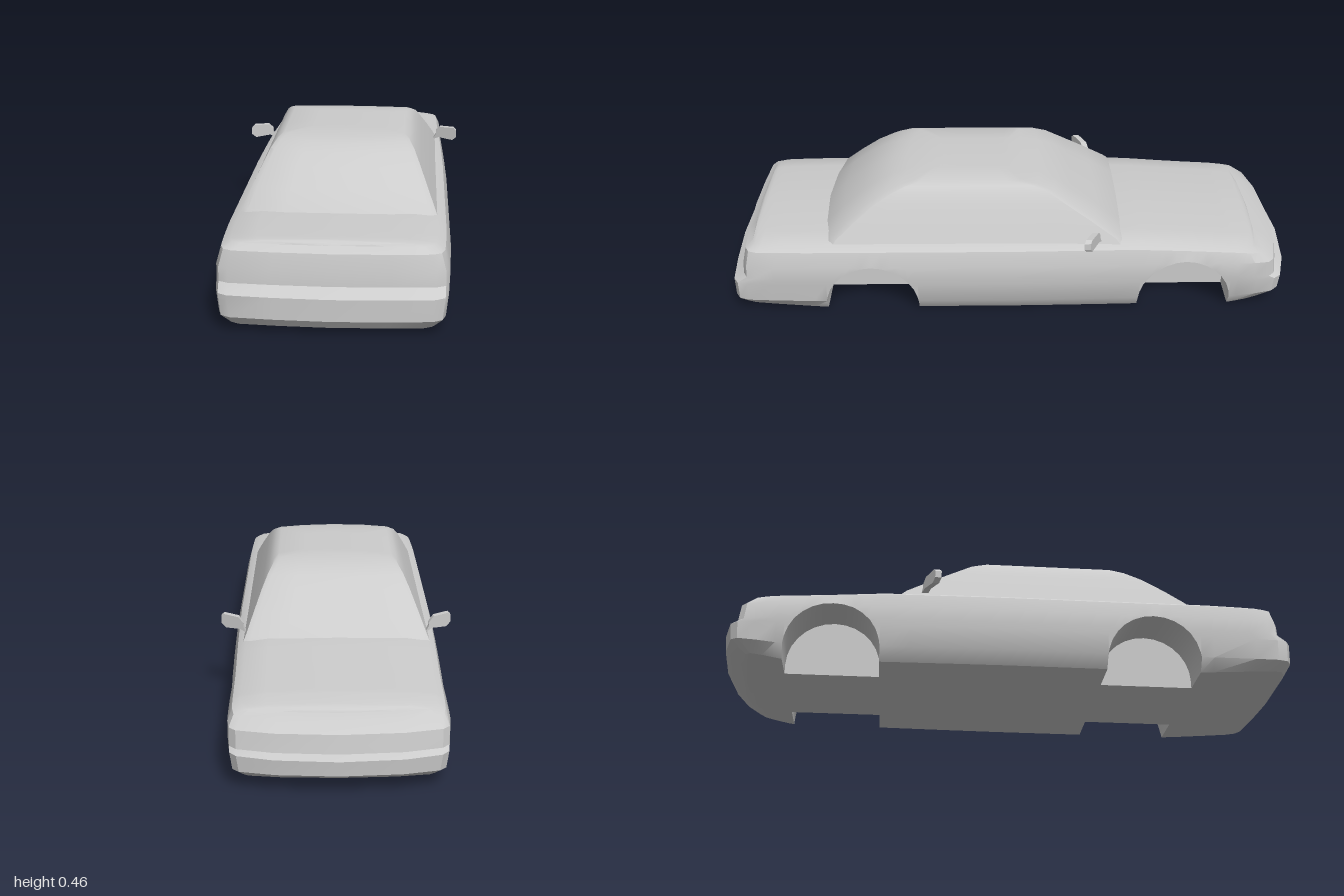
import * as THREE from 'three';
import { toCreasedNormals } from 'three/addons/utils/BufferGeometryUtils.js';

const { lerp, clamp } = THREE.MathUtils;
const material = new THREE.MeshStandardMaterial({ color: 0xcccccc });

// Piecewise-linear lookup in a list of [input, output] pairs.
function lookup(table, v) {
  if (v <= table[0][0]) return table[0][1];
  for (let i = 1; i < table.length; i++) {
    const [a, fa] = table[i - 1], [b, fb] = table[i];
    if (v <= b) return b > a ? lerp(fa, fb, (v - a) / (b - a)) : fb;
  }
  return table[table.length - 1][1];
}

// Skin over a series of closed loops with equal point counts.
function loft(rows, crease) {
  const n = rows[0].length, index = [];
  for (let k = 0; k < rows.length - 1; k++) {
    for (let j = 0; j < n; j++) {
      const a = k * n + j, b = k * n + (j + 1) % n;
      index.push(a, b, a + n, b, b + n, a + n);
    }
  }
  const g = new THREE.BufferGeometry();
  g.setAttribute('position', new THREE.Float32BufferAttribute(rows.flat(2), 3));
  g.setIndex(index);
  return toCreasedNormals(g, crease);
}

function addMesh(group, name, geometry, mat = material) {
  const mesh = new THREE.Mesh(geometry, mat);
  mesh.name = name;
  group.add(mesh);
}

// Mirror a half section that runs from centre line to centre line.
const mirrored = half => [
  ...half, ...half.slice(1, -1).reverse().map(([x, y, z]) => [-x, y, z])];

// Body levels, bottom to top: y at nose, middle, tail; z of nose and tail; half width.
const levels = [
  [0.03, 0, 0.022, -0.93, 0.98, 0.32],
  [0.07, 0.045, 0.05, -0.995, 1, 0.35],
  [0.12, 0.12, 0.12, -1, 1, 0.358],
  [0.13, 0.145, 0.145, -0.97, 0.96, 0.36],
  [0.19, 0.19, 0.19, -0.96, 0.957, 0.36],
  [0.215, 0.245, 0.243, -0.915, 0.945, 0.345],
  [0.225, 0.262, 0.26, -0.88, 0.92, 0.318],
];

// Plan outline: z against share of the half width.
const plan = [
  [-1, 0], [-0.985, 0.55], [-0.955, 0.87], [-0.93, 0.93], [-0.87, 0.95],
  [-0.8, 0.955], [-0.6, 0.96], [-0.35, 0.98], [-0.2, 0.99], [0, 1], [0.2, 1], [0.7, 1],
  [0.85, 0.99], [0.93, 0.98], [0.965, 0.95], [0.982, 0.87], [0.993, 0.5], [1, 0],
];

const arches = [
  { z: -0.6125, y: 0.035, r: 0.163 },
  { z: 0.493, y: 0.027, r: 0.163 },
];

// Stations along the car, each with the height of the wheel arch there.
function bodyStations() {
  const list = plan
    .filter(([z]) => arches.every(a => Math.abs(z - a.z) > a.r))
    .map(([z]) => [z, 0]);
  for (const a of arches) {
    list.push([a.z - a.r - 1e-5, 0], [a.z + a.r + 1e-5, 0]);
    for (let i = 0; i <= 14; i++) {
      const t = Math.PI * i / 14;
      list.push([a.z - a.r * Math.cos(t), a.y + a.r * Math.sin(t)]);
    }
  }
  return list.sort((p, q) => p[0] - q[0]);
}

function bodySection([s, arch]) {
  const share = lookup(plan, s);
  const heights = levels.map(([nose, mid, tail], i) => {
    const noseStart = i < 3 ? 0.78 : 0.42;
    if (s < 0) return lerp(mid, nose, clamp((-s - noseStart) / (1 - noseStart), 0, 1));
    return lerp(mid, tail, clamp((s - 0.66) / 0.34, 0, 1));
  });
  const profile = levels.map((l, i) => [heights[i], l[5]]);
  const side = levels.map(([, , , zNose, zTail], i) => {
    let z = s;
    if (s < -0.78) z = lerp(-0.78, zNose, (-s - 0.78) / 0.22);
    if (s > 0.72) z = lerp(0.72, zTail, (s - 0.72) / 0.28);
    const y = Math.max(heights[i], arch);
    return [lookup(profile, y) * share, y, z];
  });
  const [low, top] = [side[0], side[side.length - 1]];
  const inner = Math.min(0.18, low[0]);
  const crown = 0.014 * share;
  return mirrored([
    [0, heights[0], low[2]], [inner, heights[0], low[2]], [inner, low[1], low[2]],
    ...side,
    [top[0] * 0.75, top[1] + crown * 0.7, top[2]], [0, top[1] + crown, top[2]],
  ]);
}

// Cabin levels: y, half width, z of windscreen and rear window on the centre line.
const cabinLevels = [
  [0.25, 0.322, -0.41, 0.685],
  [0.275, 0.311, -0.39, 0.668],
  [0.33, 0.286, -0.305, 0.605],
  [0.385, 0.26, -0.215, 0.535],
  [0.42, 0.241, -0.16, 0.475],
  [0.44, 0.224, -0.105, 0.425],
  [0.45, 0.205, -0.045, 0.375],
  [0.455, 0.11, 0.0, 0.3],
  [0.456, 0, 0.02, 0.28],
];

function cabinLoop([y, w, zf, zr]) {
  const sides = [0.85, 0.6, 0.35, 0.15].map(t => [w, y, lerp(zf, zr, t)]);
  return mirrored([
    [0, y, zr], [w * 0.55, y, zr - 0.012], [w * 0.94, y, zr - 0.036], [w, y, zr - 0.055],
    ...sides,
    [w, y, zf + 0.025], [w * 0.94, y, zf + 0.012], [w * 0.55, y, zf + 0.004], [0, y, zf],
  ]);
}

// Door mirror: a flat outline swept back towards its outer end.
function doorMirror(side) {
  const outline = [
    [0.31, 0.264], [0.333, 0.275], [0.385, 0.271], [0.4, 0.285],
    [0.4, 0.31], [0.39, 0.32], [0.338, 0.317], [0.322, 0.298], [0.322, 0.285]];
  const shape = new THREE.Shape(outline.map(([x, y]) => new THREE.Vector2(side * x, y)));
  const g = new THREE.ExtrudeGeometry(shape, { depth: 0.022, bevelEnabled: false });
  const p = g.attributes.position;
  for (let i = 0; i < p.count; i++) {
    p.setZ(i, p.getZ(i) - 0.315 + (Math.abs(p.getX(i)) - 0.31) * 0.5);
  }
  g.computeVertexNormals();
  return g;
}

export function createModel() {
  const car = new THREE.Group();
  car.name = 'carBody';
  addMesh(car, 'lowerBody', loft(bodyStations().map(bodySection), 0.5));
  addMesh(car, 'cabin', loft(cabinLevels.map(cabinLoop), 0.5));
  addMesh(car, 'leftMirror', doorMirror(1));
  addMesh(car, 'rightMirror', doorMirror(-1));
  return car;
}
